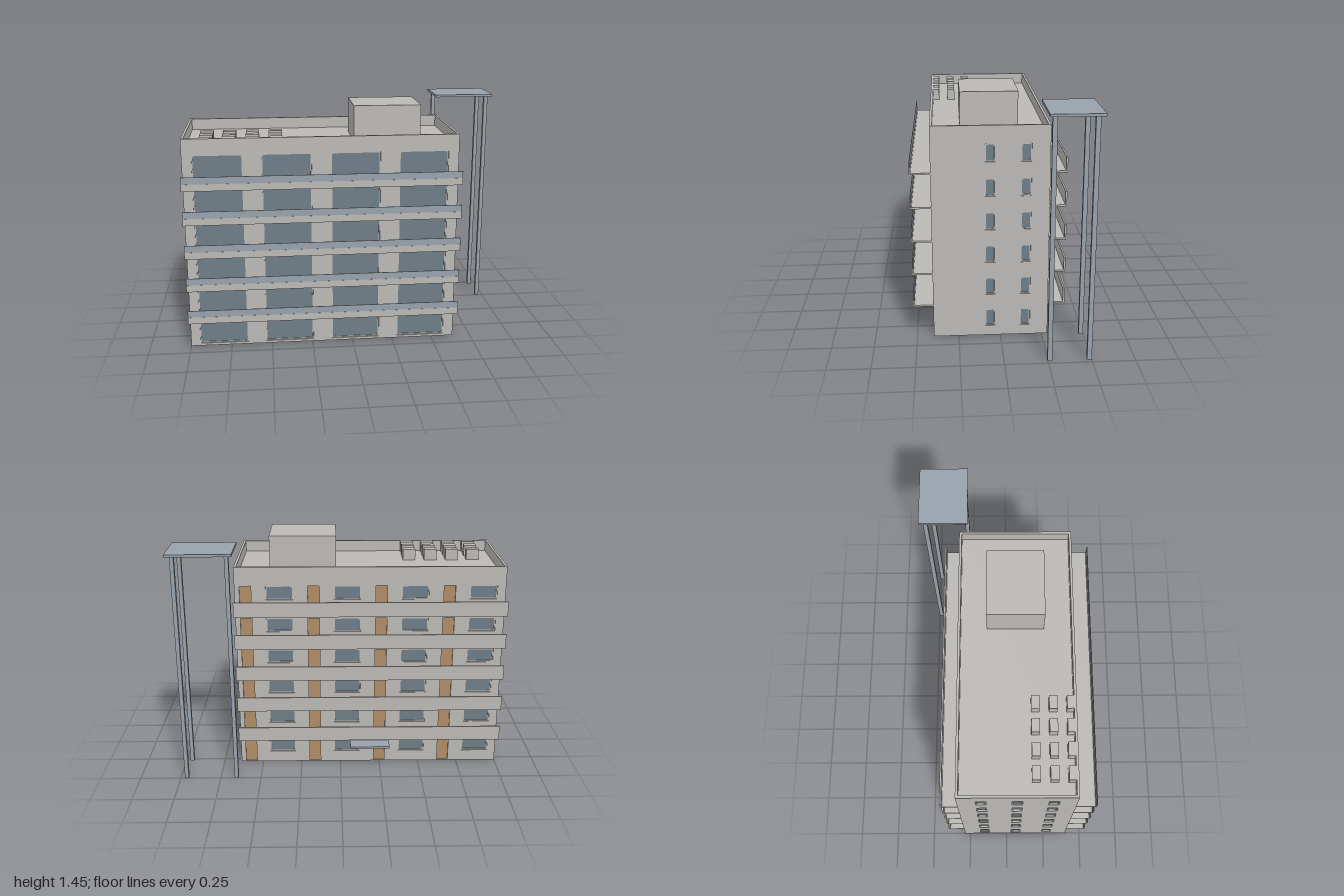
import * as THREE from 'three';

const mat = (name, color, side = THREE.FrontSide) => {
  const m = new THREE.MeshStandardMaterial({ color, side });
  m.name = name;
  return m;
};

export function createModel() {
  const concrete = mat('concrete', 0xbbb9b6);
  const glass = mat('window glass', 0x6f7d87);
  const steel = mat('blue grey steel', 0x98a2ac);
  const wood = mat('door wood', 0xb08c66);

  const model = new THREE.Group();
  model.name = 'apartmentBlock';

  // Box given by its extents on each axis
  const box = (name, material, [x0, x1], [y0, y1], [z0, z1], parent = model) => {
    const mesh = new THREE.Mesh(new THREE.BoxGeometry(x1 - x0, y1 - y0, z1 - z0), material);
    mesh.position.set((x0 + x1) / 2, (y0 + y1) / 2, (z0 + z1) / 2);
    mesh.name = name;
    parent.add(mesh);
    return mesh;
  };

  const X = [-1, 0.64], Z = [-0.285, 0.4];
  const H = 1.3, ROOF = 1.23, T = 0.015, PITCH = 0.205, FLOORS = 6;

  const rectangle = (Type, u0, u1, v0, v1) => {
    const p = new Type();
    p.moveTo(u0, v0);
    p.lineTo(u1, v0);
    p.lineTo(u1, v1);
    p.lineTo(u0, v1);
    p.closePath();
    return p;
  };

  const roundedHole = (w, h, r) => {
    const p = new THREE.Path(), a = w / 2, b = h / 2;
    p.moveTo(-a + r, -b);
    p.lineTo(a - r, -b);
    p.quadraticCurveTo(a, -b, a, -b + r);
    p.lineTo(a, b - r);
    p.quadraticCurveTo(a, b, a - r, b);
    p.lineTo(-a + r, b);
    p.quadraticCurveTo(-a, b, -a, b - r);
    p.lineTo(-a, -b + r);
    p.quadraticCurveTo(-a, -b, -a + r, -b);
    return p;
  };

  const extrude = (shape, depth) =>
    new THREE.ExtrudeGeometry(shape, { depth, bevelEnabled: false, curveSegments: 3 });

  // Outer wall with recessed openings, drawn facing local +z
  const wall = (name, u0, u1, openings, position, turn) => {
    const group = new THREE.Group();
    group.name = name;
    const shape = rectangle(THREE.Shape, u0, u1, 0, H);
    for (let floor = 0; floor < FLOORS; floor++) {
      for (const { u, w, v0, v1, door } of openings) {
        const b = v0 + floor * PITCH, t = v1 + floor * PITCH;
        shape.holes.push(rectangle(THREE.Path, u - w / 2, u + w / 2, b, t));
        box(door ? 'door' : 'windowPane', door ? wood : glass,
          [u - w / 2, u + w / 2], [b, t], [-T, -T + 0.004], group);
        if (door) continue;
        // Slim frame with rounded inner corners
        const ring = rectangle(THREE.Shape, -w / 2, w / 2, (b - t) / 2, (t - b) / 2);
        ring.holes.push(roundedHole(w - 0.012, t - b - 0.012, 0.012));
        const frame = new THREE.Mesh(extrude(ring, 0.004), concrete);
        frame.position.set(u, (b + t) / 2, -T + 0.004);
        frame.name = 'windowFrame';
        group.add(frame);
      }
    }
    const panel = new THREE.Mesh(extrude(shape, T), concrete);
    panel.position.z = -T;
    panel.name = name + 'Panel';
    group.add(panel);
    group.position.set(...position);
    group.rotation.y = turn;
    model.add(group);
  };

  // Solid core, whose top is the sunken roof; the walls rise past it as a parapet
  box('core', concrete, [X[0] + T, X[1] - T], [0, ROOF], [Z[0] + T, Z[1] - T]);

  const frontWindows = [-0.795, -0.39, 0.02, 0.43].map(u => ({ u, w: 0.295, v0: 0.015, v1: 0.178 }));
  wall('frontWall', X[0], X[1], frontWindows, [0, 0, Z[1]], 0);

  const backOpenings = [];
  for (let i = 0; i < 4; i++) {
    backOpenings.push({ u: -0.575 + i * 0.412, w: 0.07, v0: 0.003, v1: 0.158, door: true });
    backOpenings.push({ u: -0.37 + i * 0.412, w: 0.165, v0: 0.072, v1: 0.158 });
  }
  wall('backWall', -X[1], -X[0], backOpenings, [0, 0, Z[0]], Math.PI);

  const sideWindow = u => ({ u, w: 0.06, v0: 0.062, v1: 0.168 });
  wall('leftWall', -Z[1] + T, -Z[0] - T, [-0.06, 0.148].map(sideWindow), [X[1], 0, 0], Math.PI / 2);
  wall('rightWall', Z[0] + T, Z[1] - T, [-0.148, 0.06, 0.268].map(sideWindow), [X[0], 0, 0], -Math.PI / 2);

  // Front balconies and rear access galleries
  for (let i = 0; i < FLOORS - 1; i++) {
    const y = 0.198 + i * PITCH;
    box('balconySlab', concrete, X, [y, y + 0.01], [Z[1], 0.52]);
    box('balconyCurb', concrete, X, [y + 0.01, y + 0.042], [0.512, 0.52]);
    box('balconyRail', steel, X, [y + 0.042, y + 0.083], [0.515, 0.519]);
    box('gallerySlab', concrete, X, [y, y + 0.01], [-0.385, Z[0]]);
    box('galleryParapet', concrete, X, [y + 0.01, y + 0.091], [-0.385, -0.375]);
  }

  // Rooftop plant room and ventilation units
  box('plantRoom', concrete, [0.025, 0.435], [ROOF, 1.45], [-0.115, 0.225]);
  for (const x of [-0.86, -0.725, -0.587, -0.45]) {
    for (const z of [0.14, 0.243, 0.345]) {
      box('roofUnit', concrete, [x - 0.04, x + 0.04], [ROOF, H], [z, Math.min(z + 0.048, Z[1] - T)]);
    }
  }

  // Entrance canopy at the back
  box('entranceCanopy', steel, [-0.305, -0.06], [0.172, 0.184], [-0.448, Z[0]]);

  // Free-standing shaft: three posts under a flat cap
  box('shaftCap', steel, [0.62, 1], [1.425, 1.44], [-0.525, -0.23]);
  for (const [x, z] of [[0.652, -0.487], [0.962, -0.487], [0.962, -0.26]]) {
    box('shaftPost', steel, [x - 0.012, x + 0.012], [0, 1.425], [z - 0.0135, z + 0.0135]);
  }

  return model;
}
